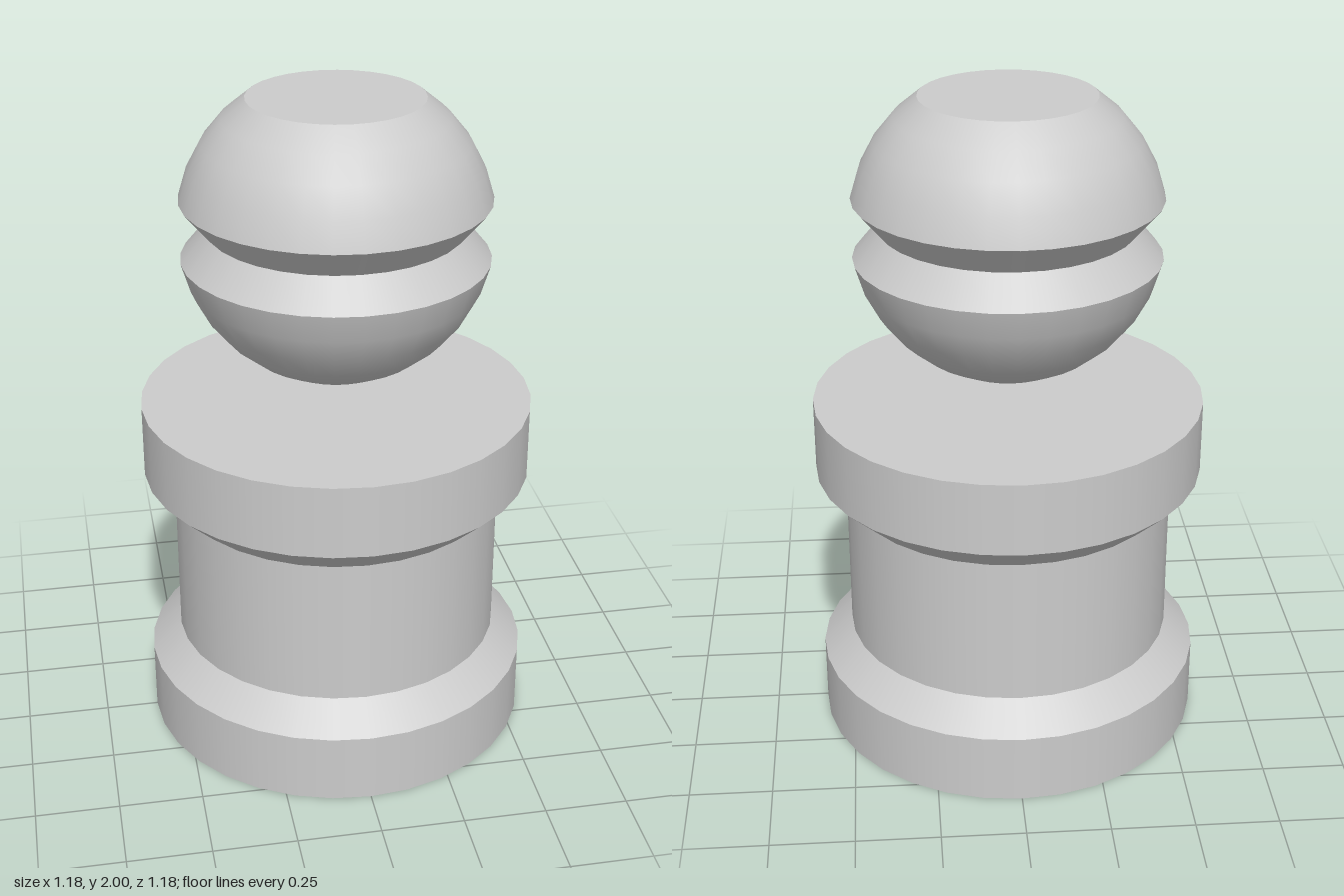
import * as THREE from 'three';
import { mergeGeometries } from 'three/addons/utils/BufferGeometryUtils.js';

const SIDES = 32;

// Turns each run of [radius, height] points (bottom to top) separately, so edges between runs stay sharp.
function turned(name, runs, material) {
  const parts = runs.map((run) =>
    new THREE.LatheGeometry(run.map(([r, y]) => new THREE.Vector2(r, y)), SIDES));
  const mesh = new THREE.Mesh(mergeGeometries(parts), material);
  mesh.name = name;
  return mesh;
}

// Splits a profile into single straight runs.
const straightRuns = (points) => points.slice(1).map((p, i) => [points[i], p]);

export function createModel() {
  const model = new THREE.Group();
  model.name = 'pedestalWithBall';
  const material = new THREE.MeshStandardMaterial({ color: 0xcccccc });

  // Spool-shaped pedestal with a wide rim at each end
  model.add(turned('pedestal', straightRuns([
    [0, 0], [0.59, 0], [0.59, 0.215], [0.5, 0.302],
    [0.5, 0.762], [0.59, 0.847], [0.59, 1.07], [0, 1.07],
  ]), material));

  // Floating ball with a V-groove at its equator and a flat cut top
  const R = 0.464, centre = 1.614, step = Math.PI / 16;
  const arc = (from, to) => Array.from({ length: to - from + 1 }, (_, i) => {
    const a = (from + i) * step;
    return [from + i === -8 ? 0 : R * Math.cos(a), centre + R * Math.sin(a)];
  });
  const lower = arc(-8, -1), upper = arc(1, 5), groove = [0.38, centre];
  const top = upper[upper.length - 1];
  model.add(turned('groovedBall', [
    lower,
    [lower[lower.length - 1], groove],
    [groove, upper[0]],
    upper,
    [top, [0, top[1]]],
  ], material));

  return model;
}
